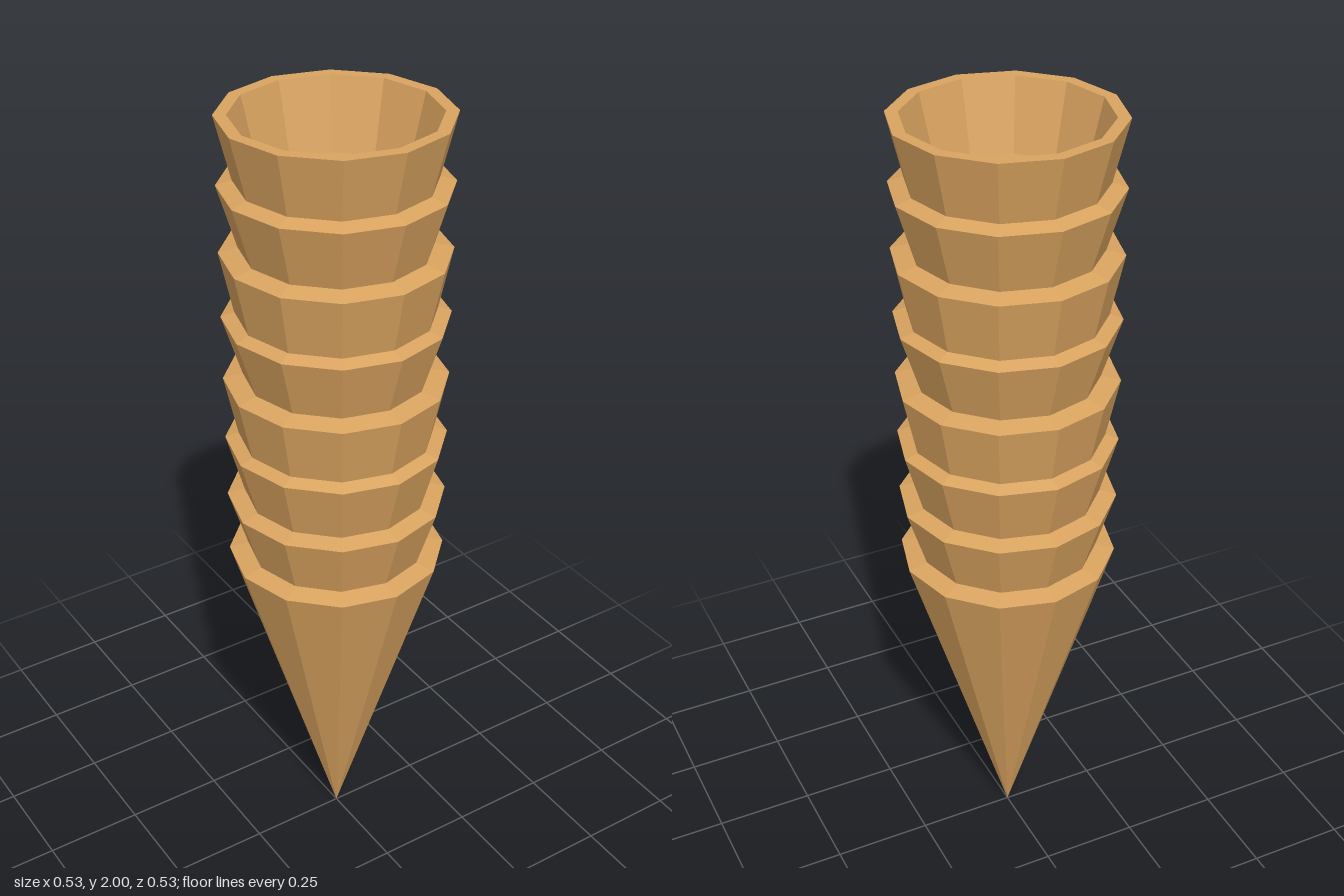
import * as THREE from 'three';

const SIDES = 12;
const RIM = 0.267;      // outer rim radius
const FIRST = 0.87;     // rim height of the lowest cone
const STEP = (2 - FIRST) / 7;
const LIFT = 0.012;     // slight rise of each ledge toward the next cone
// radius where each upper cone emerges from the one below, bottom to top
const NECKS = [0.22, 0.225, 0.235, 0.22, 0.235, 0.222, 0.23];

export function createModel() {
  const group = new THREE.Group();
  group.name = 'coneStack';
  const wafer = new THREE.MeshStandardMaterial({ color: 0xd9a35f, flatShading: true });
  wafer.name = 'wafer';

  // faceted part turned from a profile of [radius, height] pairs
  const turn = (name, profile) => {
    const points = profile.map(([r, y]) => new THREE.Vector2(r, y));
    const mesh = new THREE.Mesh(new THREE.LatheGeometry(points, SIDES), wafer);
    mesh.name = name;
    group.add(mesh);
  };

  // lowest cone: full point and its ledge
  turn('bottomCone', [[0, 0], [RIM, FIRST], [NECKS[0], FIRST + LIFT]]);

  // nested cones: exposed wall and ledge
  for (let i = 0; i < 6; i++) {
    const rimY = FIRST + STEP * (i + 1);
    turn(`nestedCone${i + 1}`, [
      [NECKS[i], rimY - STEP + LIFT], [RIM, rimY], [NECKS[i + 1], rimY + LIFT],
    ]);
  }

  // top cone: wall, flat rim, hollow inside and floor
  turn('topCone', [
    [NECKS[6], 2 - STEP + LIFT], [RIM, 2], [0.237, 2], [0.194, 1.83], [0, 1.83],
  ]);

  return group;
}
